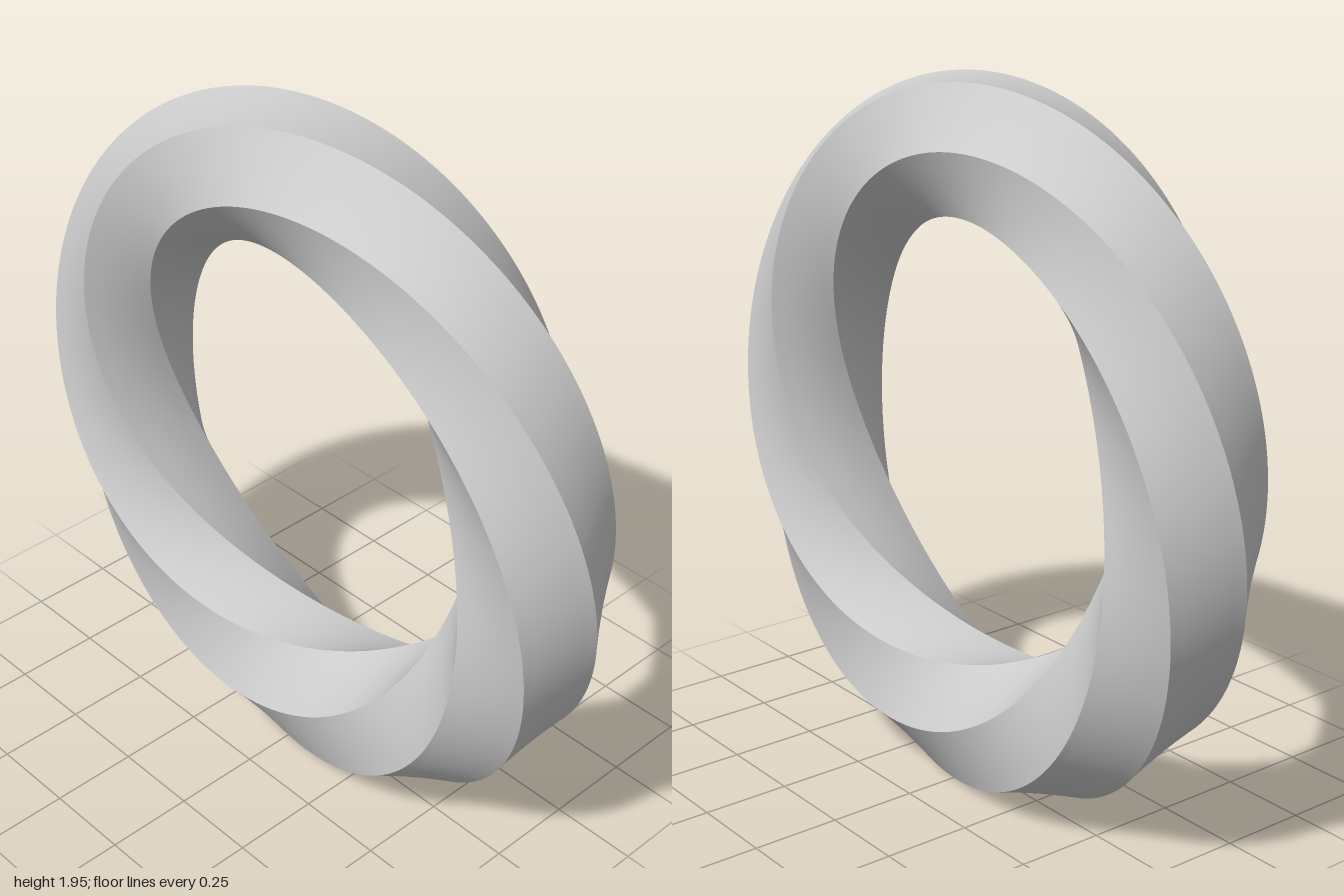
import * as THREE from 'three';

const RING = 0.8;      // radius of the centre line
const TUBE = 0.2;      // corner radius of the hexagonal section
const CENTRE_Y = 0.978;
const SIDES = 6, STEPS = 240, ROWS = 6;

// One long face of the twisted hexagonal bar, a closed strip around the ring.
// The section makes one full turn per lap, so each strip meets itself.
function twistedFace(side) {
  const positions = [], index = [];
  const a0 = (side / SIDES) * Math.PI * 2;
  const a1 = ((side + 1) / SIDES) * Math.PI * 2;
  for (let i = 0; i < STEPS; i++) {
    const t = (i / STEPS) * Math.PI * 2;
    for (let j = 0; j <= ROWS; j++) {
      const k = j / ROWS;
      // straight line between neighbouring corners of the hexagon
      const out = TUBE * THREE.MathUtils.lerp(Math.cos(a0 + t), Math.cos(a1 + t), k);
      const z = TUBE * THREE.MathUtils.lerp(Math.sin(a0 + t), Math.sin(a1 + t), k);
      positions.push((RING + out) * Math.cos(t), (RING + out) * Math.sin(t), z);
    }
  }
  const at = (i, j) => (i % STEPS) * (ROWS + 1) + j;
  for (let i = 0; i < STEPS; i++) {
    for (let j = 0; j < ROWS; j++) {
      const a = at(i, j), b = at(i + 1, j), c = at(i + 1, j + 1), d = at(i, j + 1);
      index.push(a, b, c, a, c, d);
    }
  }
  const geometry = new THREE.BufferGeometry();
  geometry.setAttribute('position', new THREE.Float32BufferAttribute(positions, 3));
  geometry.setIndex(index);
  geometry.computeVertexNormals();
  return geometry;
}

export function createModel() {
  const model = new THREE.Group();
  model.name = 'twistedRing';
  const material = new THREE.MeshStandardMaterial({ color: 0xcccccc });
  // Separate strips keep the six spiral edges sharp
  for (let side = 0; side < SIDES; side++) {
    const face = new THREE.Mesh(twistedFace(side), material);
    face.name = `spiralFace${side + 1}`;
    face.position.y = CENTRE_Y;
    model.add(face);
  }
  return model;
}
